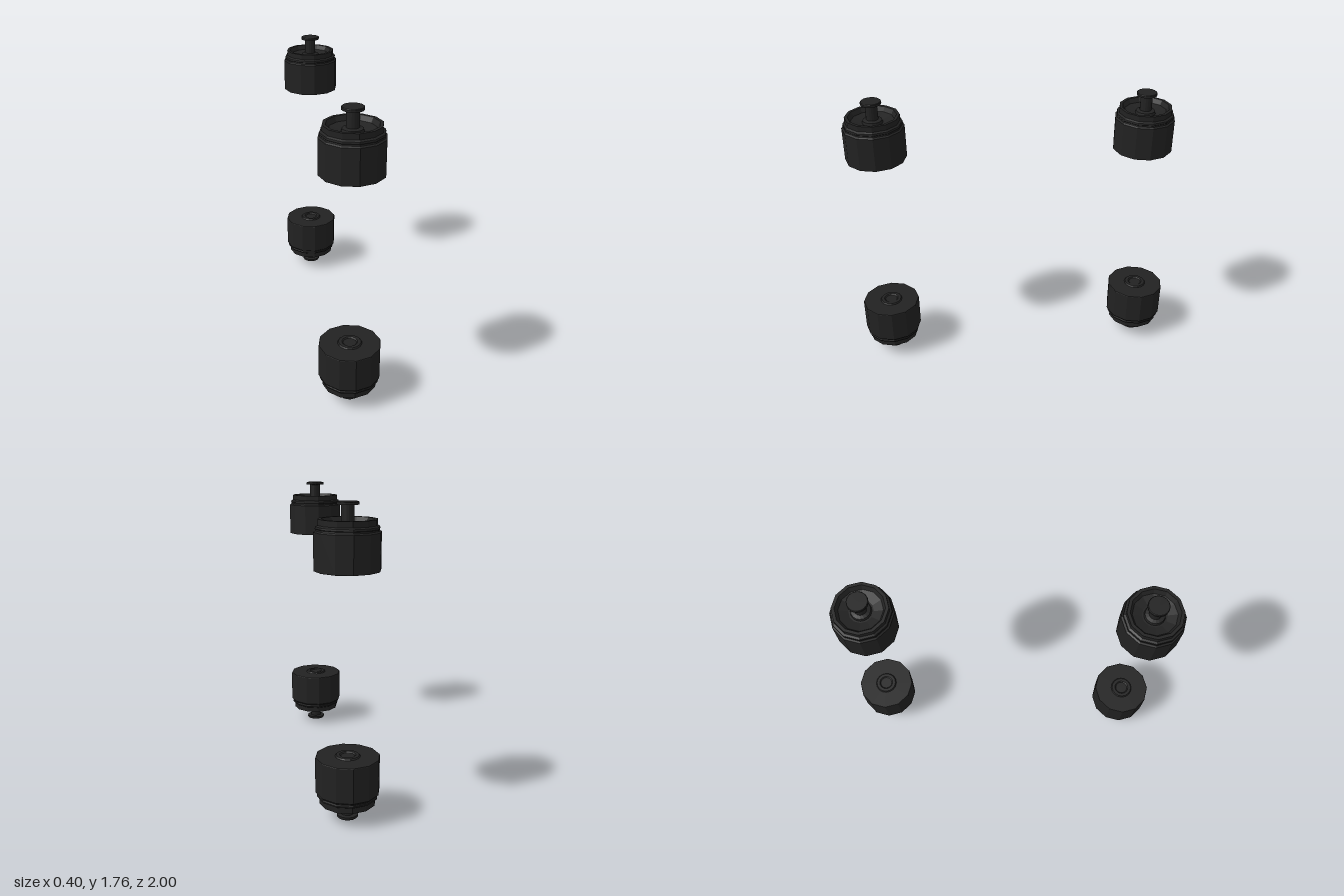
import * as THREE from 'three';

const rubber = new THREE.MeshStandardMaterial({ color: 0x222222, flatShading: true });

// Profile runs from the axis at the bottom, outward, up and back to the axis.
function turned(name, profile, sides) {
  const points = profile.map(([r, y]) => new THREE.Vector2(r, y));
  const mesh = new THREE.Mesh(new THREE.LatheGeometry(points, sides), rubber);
  mesh.name = name;
  return mesh;
}

function createBushing(name) {
  const bushing = new THREE.Group();
  bushing.name = name;

  // Faceted drum with stepped shoulder and a dished end
  bushing.add(turned('drum', [
    [0, 0.008], [0.178, 0.008], [0.18, 0.012], [0.18, 0.21], [0.17, 0.217],
    [0.168, 0.224], [0.172, 0.228], [0.17, 0.238], [0.158, 0.245],
    [0.158, 0.277], [0.14, 0.277], [0.125, 0.25], [0.07, 0.235], [0, 0.235],
  ], 12));

  // Low ring around a shallow socket on the flat end
  bushing.add(turned('socketRing', [
    [0, 0.006], [0.038, 0.006], [0.045, 0], [0.064, 0], [0.07, 0.008],
  ], 16));

  // Collar, pin and flanged head
  bushing.add(turned('pin', [
    [0.06, 0.234], [0.056, 0.252], [0.035, 0.258], [0.035, 0.348],
    [0.06, 0.35], [0.06, 0.363], [0.057, 0.366], [0, 0.366],
  ], 16));
  return bushing;
}

export function createModel() {
  const model = new THREE.Group();
  model.name = 'bushingSet';

  // Upper pair: pins up
  const upperFront = createBushing('upperFrontBushing');
  upperFront.position.set(-0.02, 1.395, 0.82);
  const upperBack = createBushing('upperBackBushing');
  upperBack.position.set(0.018, 1.375, -0.78);

  // Lower pair: turned over, pins down
  const lowerFront = createBushing('lowerFrontBushing');
  lowerFront.position.set(-0.02, 0.367, 0.82);
  lowerFront.rotation.x = Math.PI;
  const lowerBack = createBushing('lowerBackBushing');
  lowerBack.position.set(0.018, 0.371, -0.82);
  lowerBack.rotation.x = Math.PI;

  model.add(upperFront, upperBack, lowerFront, lowerBack);
  return model;
}
